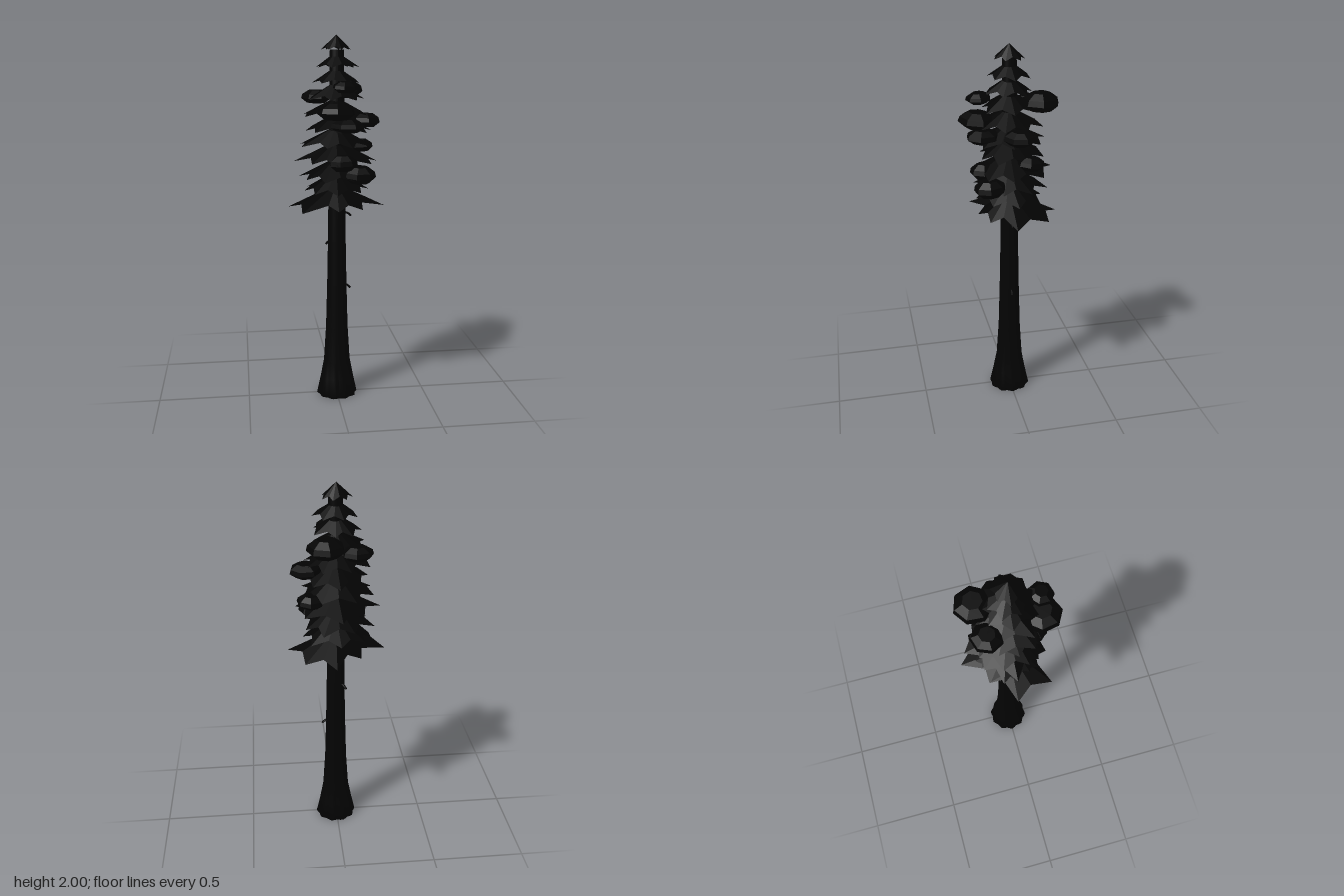
import * as THREE from 'three';

const dark = new THREE.MeshStandardMaterial({ color: 0x030303, flatShading: true, side: THREE.DoubleSide });
const barkMat = new THREE.MeshStandardMaterial({ color: 0x030303 });

// Small seeded generator for natural variation
let seed = 11;
const rand = () => (seed = (seed * 16807) % 2147483647) / 2147483647;
const vary = (amount) => 1 + (rand() - 0.5) * 2 * amount;

function add(group, name, geometry, material = dark) {
  const mesh = new THREE.Mesh(geometry, material);
  mesh.name = name;
  group.add(mesh);
  return mesh;
}

// Jagged skirt of needles: tips are [angle in degrees, radius]
function skirt(rimY, topY, tips) {
  const top = new THREE.Vector3(0, topY, 0);
  const under = new THREE.Vector3(0, rimY + (topY - rimY) * 0.4, 0);
  const ring = [];
  const at = (deg, r, y) => {
    const a = THREE.MathUtils.degToRad(deg);
    return new THREE.Vector3(Math.cos(a) * r, y, Math.sin(a) * r);
  };
  tips.forEach(([deg, r], i) => {
    const [nextDeg, nextR] = tips[(i + 1) % tips.length];
    const end = i === tips.length - 1 ? nextDeg + 360 : nextDeg;
    const valley = Math.min(r, nextR) * 0.8;
    ring.push(at(deg, r, rimY), at((deg + end) / 2, valley, rimY + (topY - rimY) * 0.22));
  });
  const points = [];
  ring.forEach((p, i) => {
    const q = ring[(i + 1) % ring.length];
    points.push(top, q, p, under, p, q);
  });
  const geometry = new THREE.BufferGeometry().setFromPoints(points);
  geometry.computeVertexNormals();
  return geometry;
}

export function createModel() {
  const tree = new THREE.Group();
  tree.name = 'conifer';

  // Tapered trunk with a fluted, flared root
  const profile = [[0, 0], [0.109, 0], [0.09, 0.1], [0.073, 0.2], [0.061, 0.4], [0.054, 0.65],
    [0.049, 0.9], [0.046, 1.15], [0.042, 1.5], [0.037, 1.925], [0, 1.925]];
  const trunk = new THREE.LatheGeometry(profile.map(([r, y]) => new THREE.Vector2(r, y)), 40);
  const pos = trunk.attributes.position;
  for (let i = 0; i < pos.count; i++) {
    const x = pos.getX(i), z = pos.getZ(i);
    const flute = 1 + 0.05 * Math.cos(Math.atan2(z, x) * 10) * Math.max(0, 1 - pos.getY(i) / 0.25);
    pos.setX(i, x * flute);
    pos.setZ(i, z * flute);
  }
  trunk.computeVertexNormals();
  add(tree, 'trunk', trunk, barkMat).position.x = 0.003;

  // Lowest skirt has a few long boughs
  add(tree, 'lowestBoughs', skirt(1.092, 1.215, [[2, 0.262], [45, 0.18], [92, 0.17],
    [137, 0.275], [183, 0.262], [228, 0.18], [274, 0.255], [315, 0.25]]));

  // Skirts above: rim height, crown height, radius
  const tiers = [
    [1.18, 1.29, 0.185], [1.25, 1.36, 0.195], [1.34, 1.45, 0.215], [1.425, 1.53, 0.185],
    [1.505, 1.6, 0.19], [1.585, 1.68, 0.175], [1.67, 1.765, 0.16], [1.755, 1.84, 0.135],
    [1.835, 1.915, 0.115], [1.925, 2, 0.082],
  ];
  tiers.forEach(([rim, crown, radius], t) => {
    const count = t < 6 ? 8 : 7;
    const tips = [];
    for (let i = 0; i < count; i++) {
      tips.push([(i + 0.5 * (t % 2) + 0.25 * (rand() - 0.5)) * 360 / count, radius * vary(0.13)]);
    }
    add(tree, t === tiers.length - 1 ? 'treeTip' : 'boughs', skirt(rim, crown, tips));
  });

  // Flattened clumps of foliage: x, y, z, radius, half height
  const clumps = [
    [0.065, 1.712, -0.15, 0.098, 0.048], [-0.095, 1.675, -0.125, 0.082, 0.036],
    [0.025, 1.738, 0.165, 0.066, 0.028], [-0.02, 1.612, 0.165, 0.1, 0.043],
    [0.16, 1.555, -0.02, 0.085, 0.037], [0.04, 1.54, 0.145, 0.09, 0.036],
    [0.14, 1.41, -0.085, 0.072, 0.035], [0.02, 1.345, 0.14, 0.075, 0.042],
    [0.11, 1.28, 0.125, 0.085, 0.045],
  ];
  for (const [x, y, z, r, h] of clumps) {
    // Bevelled low-poly lens
    const outline = [[0, -h], [r * 0.6, -h * 0.9], [r, -h * 0.2], [r * 0.92, h * 0.4], [r * 0.5, h], [0, h]];
    const clump = add(tree, 'foliageClump',
      new THREE.LatheGeometry(outline.map(([a, b]) => new THREE.Vector2(a, b)), 7));
    clump.position.set(x, y, z);
    clump.rotation.set((rand() - 0.5) * 0.16, rand() * 3, (rand() - 0.5) * 0.16);
  }

  // Short dead twigs on the bare trunk: height, heading, length
  for (const [y, heading, reach] of [[1.055, 0, 0.08], [0.642, 0, 0.078], [0.885, 2.3, 0.075]]) {
    const twig = add(tree, 'deadTwig', new THREE.TubeGeometry(new THREE.QuadraticBezierCurve3(
      new THREE.Vector3(0.035, y, 0),
      new THREE.Vector3(reach * 0.8, y + 0.004, 0),
      new THREE.Vector3(reach, y - 0.02, 0)), 6, 0.006, 6));
    twig.rotation.y = heading;
  }
  return tree;
}
